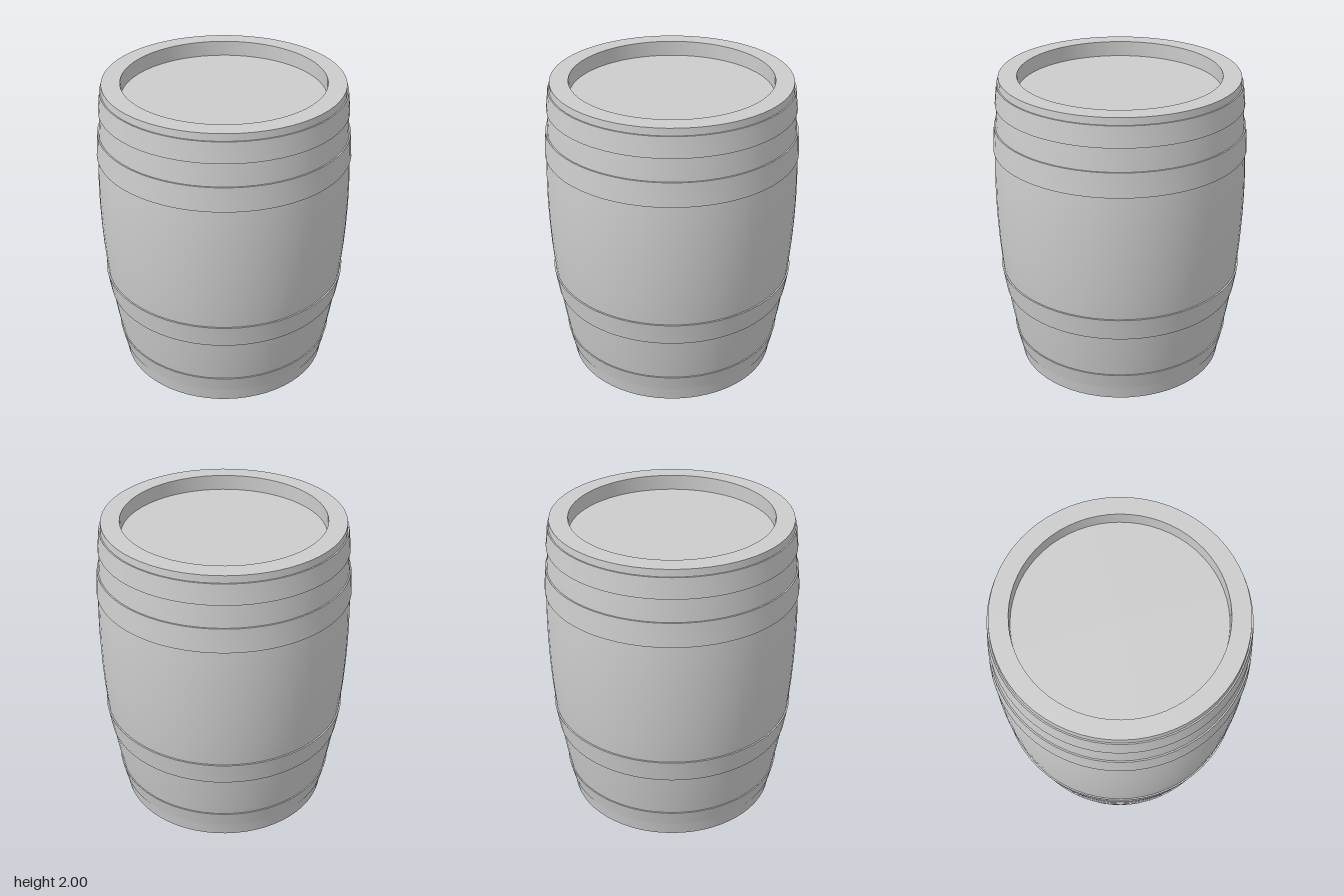
import * as THREE from 'three';
import { toCreasedNormals } from 'three/addons/utils/BufferGeometryUtils.js';

const SEGMENTS = 64;
const material = new THREE.MeshStandardMaterial({ color: 0xcccccc });

// Revolve a [radius, height] profile, smooth around but sharp at the edges
function turned(name, profile) {
  const points = profile.map(([r, y]) => new THREE.Vector2(r, y));
  const geometry = toCreasedNormals(new THREE.LatheGeometry(points, SEGMENTS), 0.5);
  const mesh = new THREE.Mesh(geometry, material);
  mesh.name = name;
  return mesh;
}

export function createModel() {
  const barrel = new THREE.Group();
  barrel.name = 'barrel';

  // Bulging staves with a rim at each end
  const headRadius = 0.645, lidY = 1.9, baseY = 0.015;
  barrel.add(turned('staves', [
    [headRadius, baseY], [headRadius, 0],
    [0.695, 0], [0.71, 0.1], [0.73, 0.21], [0.755, 0.36], [0.778, 0.525],
    [0.798, 0.68], [0.812, 0.88], [0.818, 1.04], [0.82, 1.2], [0.817, 1.36],
    [0.809, 1.525], [0.796, 1.68], [0.78, 1.82], [0.767, 1.95], [0.762, 2],
    [headRadius, 2], [headRadius, lidY],
  ]));

  // Recessed heads closing both ends
  barrel.add(turned('lid', [[headRadius, lidY], [0, lidY]]));
  barrel.add(turned('base', [[0, baseY], [headRadius, baseY]]));

  // Hoops: bottom height, bottom radius, top height, top radius
  const hoops = [
    ['bottomHoop', 0.095, 0.713, 0.21, 0.738],
    ['lowerHoop', 0.525, 0.785, 0.68, 0.808],
    ['upperHoop', 1.525, 0.818, 1.68, 0.805],
    ['topHoop', 1.825, 0.791, 1.955, 0.775],
  ];
  for (const [name, y0, r0, y1, r1] of hoops) {
    const t = 0.03;
    barrel.add(turned(name, [[r0 - t, y0], [r0, y0], [r1, y1], [r1 - t, y1]]));
  }
  return barrel;
}
